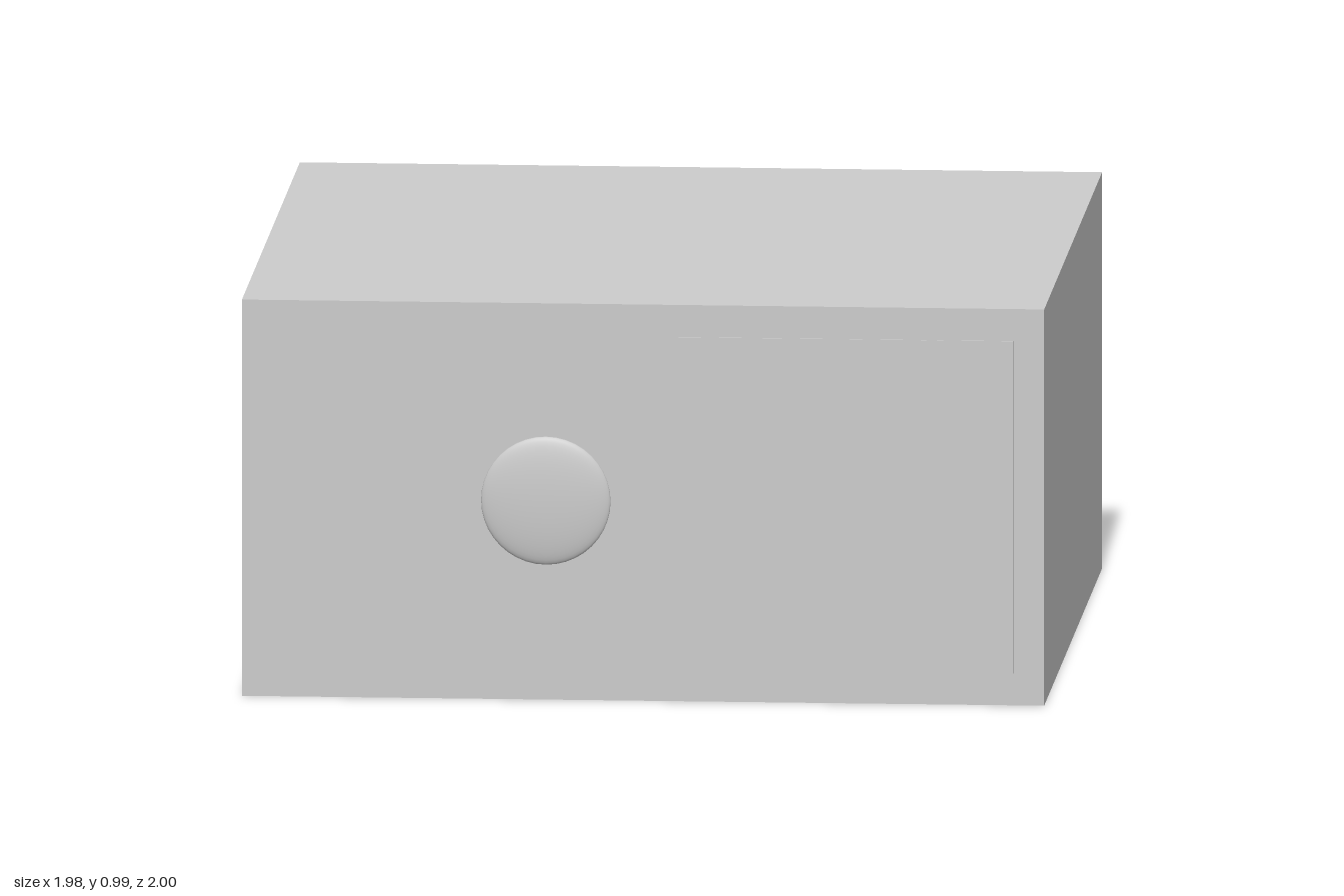
import * as THREE from 'three';

const FRONT = 0.977; // z of the casing's front face

export function createModel() {
  const group = new THREE.Group();
  const material = new THREE.MeshStandardMaterial({ color: 0xcccccc });

  const add = (name, geometry, x, y, z) => {
    const mesh = new THREE.Mesh(geometry, material);
    mesh.name = name;
    mesh.position.set(x, y, z);
    group.add(mesh);
    return mesh;
  };

  // Plain box casing
  const depth = FRONT + 1;
  add('casing', new THREE.BoxGeometry(1.98, 0.99, depth), 0, 0.495, FRONT - depth / 2);

  // Shallow domed button: a flattened hemisphere facing forward
  const dome = new THREE.SphereGeometry(0.16, 40, 12, 0, Math.PI * 2, 0, Math.PI / 2);
  dome.rotateX(Math.PI / 2);
  dome.scale(1, 1, (1 - FRONT) / 0.16);
  add('domeButton', dome, -0.24, 0.497, FRONT);

  // Four thin upright plates beside the button
  const thickness = 0.004;
  for (let i = 0; i < 4; i++) {
    add(`frontPlate${i + 1}`, new THREE.BoxGeometry(0.19, 0.83, thickness),
      0.175 + i * 0.215, 0.495, FRONT + thickness / 2);
  }

  return group;
}
